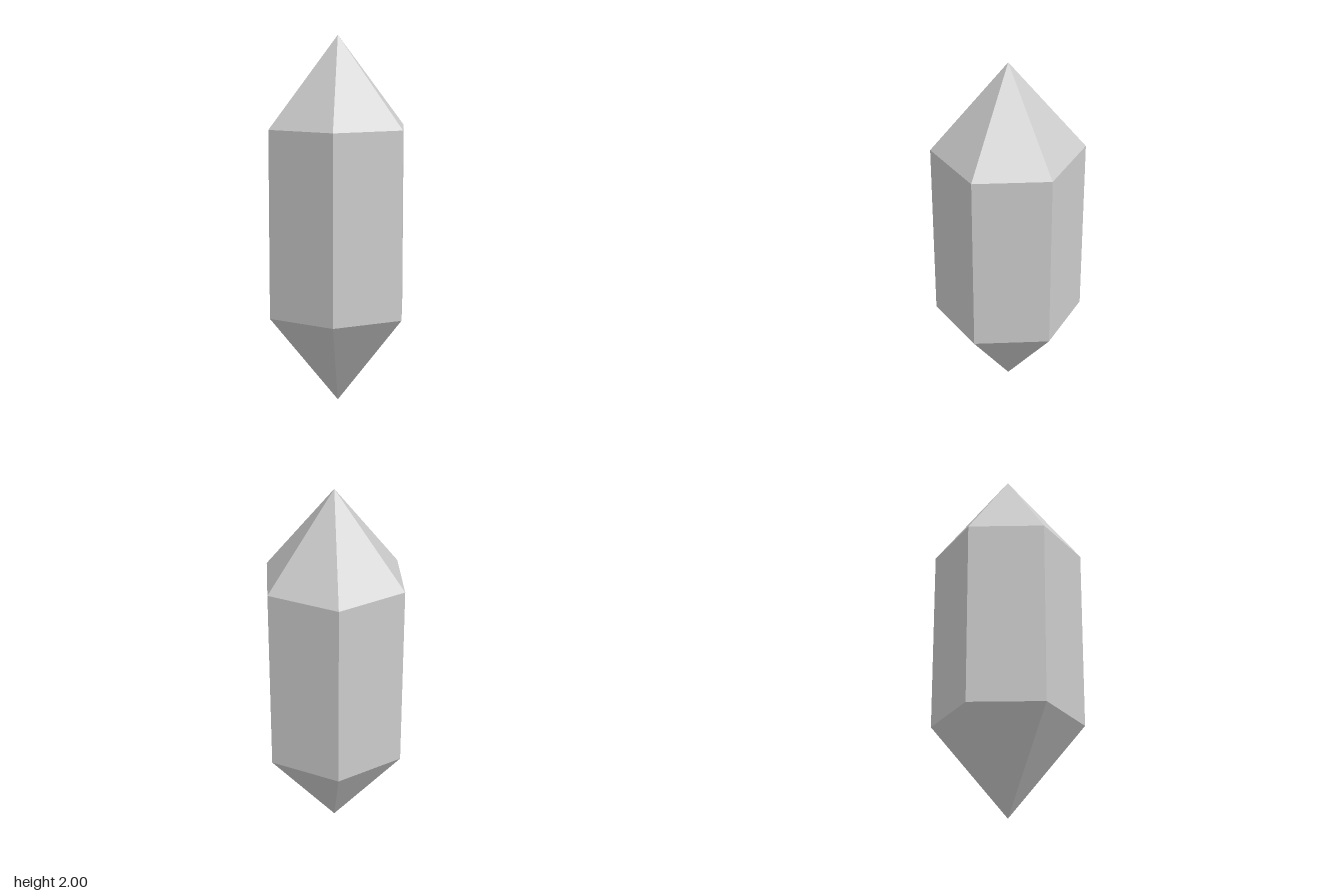
import * as THREE from 'three';

const RADIUS = 0.405;
const LOWER_RING = 0.5;
const UPPER_RING = 1.51;
const HEIGHT = 2;

export function createModel() {
  const crystal = new THREE.Group();
  crystal.name = 'crystal';
  const material = new THREE.MeshStandardMaterial({ color: 0xcccccc, flatShading: true });

  // Open six-sided section between two heights, with corners on the x axis
  function addSection(name, bottomRadius, topRadius, y0, y1) {
    const geometry = new THREE.CylinderGeometry(
      topRadius, bottomRadius, y1 - y0, 6, 1, true, Math.PI / 2
    ).toNonIndexed();
    geometry.computeVertexNormals();
    const mesh = new THREE.Mesh(geometry, material);
    mesh.name = name;
    mesh.position.y = (y0 + y1) / 2;
    crystal.add(mesh);
  }

  addSection('bottomPoint', 0, RADIUS, 0, LOWER_RING);
  addSection('shaft', RADIUS, RADIUS, LOWER_RING, UPPER_RING);
  addSection('topPoint', RADIUS, 0, UPPER_RING, HEIGHT);

  return crystal;
}
